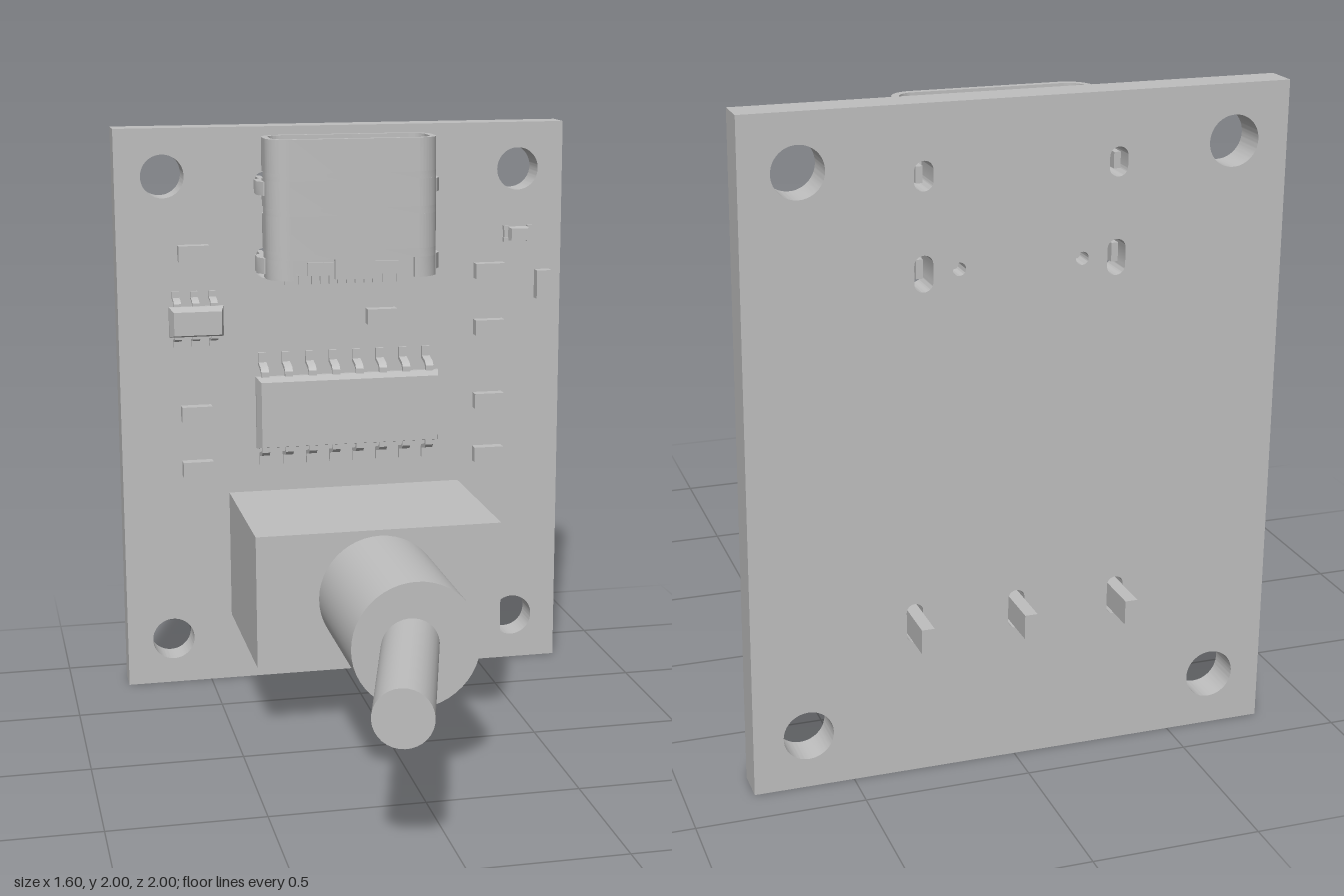
import * as THREE from 'three';
import { toCreasedNormals } from 'three/addons/utils/BufferGeometryUtils.js';

const FRONT = -0.77, BACK = -0.875; // board faces

export function createModel() {
  const root = new THREE.Group();
  const grey = new THREE.MeshStandardMaterial({ color: 0xbfbfbf });
  grey.name = 'plain grey';

  const add = (name, geo, parent = root) => {
    const mesh = new THREE.Mesh(geo, grey);
    mesh.name = name;
    parent.add(mesh);
    return mesh;
  };
  const group = (name) => {
    const g = new THREE.Group();
    g.name = name;
    root.add(g);
    return g;
  };
  // box given by its limits
  const box = (name, x0, x1, y0, y1, z0, z1, parent) => {
    const m = add(name, new THREE.BoxGeometry(x1 - x0, y1 - y0, z1 - z0), parent);
    m.position.set((x0 + x1) / 2, (y0 + y1) / 2, (z0 + z1) / 2);
    return m;
  };
  const extrude = (shape, depth, curveSegments = 10) => toCreasedNormals(
    new THREE.ExtrudeGeometry(shape, { depth, bevelEnabled: false, curveSegments }), 0.6);
  const rounded = (p, x, y, w, h, r) => { // rounded rectangle or slot
    const a = w / 2 - r, b = h / 2 - r;
    p.absarc(x + a, y + b, r, 0, Math.PI / 2);
    p.absarc(x - a, y + b, r, Math.PI / 2, Math.PI);
    p.absarc(x - a, y - b, r, Math.PI, Math.PI * 1.5);
    p.absarc(x + a, y - b, r, Math.PI * 1.5, Math.PI * 2);
    p.closePath();
    return p;
  };

  // Board with mounting holes, connector slots, peg holes and pin slots
  const board = new THREE.Shape([[-0.8, 0], [0.8, 0], [0.8, 2], [-0.8, 2]].map((p) => new THREE.Vector2(...p)));
  const slot = (x, y, w, h) => board.holes.push(rounded(new THREE.Path(), x, y, w, h, w / 2 - 0.0005));
  for (const s of [-1, 1]) {
    slot(s * 0.635, 1.835, 0.15, 0.15);
    slot(s * 0.635, 0.165, 0.15, 0.15);
    slot(s * 0.285, 1.8, 0.055, 0.085);
    slot(s * 0.285, 1.525, 0.055, 0.105);
    slot(s * 0.182, 1.53, 0.038, 0.038);
  }
  const pinX = [-0.312, 0, 0.312];
  pinX.forEach((x) => slot(x, 0.477, 0.05, 0.12));
  add('board', extrude(board, FRONT - BACK, 12)).position.z = BACK;

  // Toggle switch
  const toggle = group('toggleSwitch');
  box('switchBody', -0.422, 0.422, 0.243, 0.7, FRONT, -0.17, toggle);
  const bushing = add('bushing', new THREE.CylinderGeometry(0.21, 0.21, 0.535, 48), toggle);
  bushing.rotation.x = Math.PI / 2;
  bushing.position.set(0, 0.47, 0.0975);
  const from = new THREE.Vector3(0.024, 0.47, 0.2), to = new THREE.Vector3(-0.183, 0.47, 0.973);
  const lever = add('lever', new THREE.CylinderGeometry(0.092, 0.092, from.distanceTo(to), 32), toggle);
  lever.position.copy(from).lerp(to, 0.5);
  lever.quaternion.setFromUnitVectors(new THREE.Vector3(0, 1, 0), to.clone().sub(from).normalize());
  pinX.forEach((x) => box('switchPin', x - 0.019, x + 0.019, 0.44, 0.514, -1, FRONT, toggle));

  // Connector shell, made of slices stacked in y (shape y is -z)
  const port = group('portConnector');
  const zMid = 0.665, W = 0.6, H = 0.21, R = 0.075, T = 0.022;
  const slice = (name, shape, y0, y1) => {
    const geo = extrude(shape, y1 - y0);
    geo.rotateX(-Math.PI / 2);
    add(name, geo, port).position.y = y0;
  };
  const ring = rounded(new THREE.Shape(), 0, zMid, W, H, R);
  ring.holes.push(rounded(new THREE.Path(), 0, zMid, W - 2 * T, H - 2 * T, R - T));
  // wall from the side, round the front corner, to xIn
  const corner = (s, xIn) => {
    const out = [], inn = [];
    for (let i = 0; i <= 8; i++) {
      const a = (i / 8) * Math.PI / 2, cx = W / 2 - R, cy = zMid - H / 2 + R;
      out.push([cx + R * Math.cos(a), cy - R * Math.sin(a)]);
      inn.push([cx + (R - T) * Math.cos(a), cy - (R - T) * Math.sin(a)]);
    }
    const pts = [[W / 2, 0.68], ...out, [xIn, zMid - H / 2], [xIn, zMid - H / 2 + T], ...inn.reverse(), [W / 2 - T, 0.68]];
    return new THREE.Shape(pts.map(([x, y]) => new THREE.Vector2(s * x, y)));
  };
  for (const [y0, y1] of [[1.59, 1.71], [1.735, 1.83], [1.855, 1.97]]) slice('shell', ring, y0, y1);
  for (const [y0, y1] of [[1.56, 1.59], [1.71, 1.735], [1.83, 1.855]]) { // slices with side windows
    for (const s of [-1, 1]) slice('shellWindowWall', corner(s, 0), y0, y1);
    box('shellBack', -0.225, 0.225, y0, y1, FRONT, FRONT + T, port);
  }
  for (const s of [-1, 1]) { // skirt and spring tabs below the shell
    slice('shellSkirt', corner(s, 0.21), 1.49, 1.56);
    const t = [s * 0.07, s * 0.16].sort((a, b) => a - b);
    box('springTab', t[0], t[1], 1.5, 1.545, -0.615, -0.595, port);
    // folded legs that reach into the board slots
    for (const [y0, y1] of [[1.775, 1.822], [1.505, 1.56]]) {
      const leg = new THREE.Shape([[0.28, 0.64], [0.305, 0.64], [0.322, 0.67], [0.322, 0.735], [0.3, 0.76],
        [0.3, 0.85], [0.28, 0.85]].map(([x, y]) => new THREE.Vector2(s * x, y)));
      slice('shellLeg', leg, y0, y1);
    }
    const peg = add('locatingPeg', new THREE.CylinderGeometry(0.014, 0.014, 0.07, 12), port);
    peg.rotation.x = Math.PI / 2;
    peg.position.set(s * 0.182, 1.53, FRONT - 0.02);
  }
  box('skirtCentre', -0.07, 0.07, 1.49, 1.56, -0.582, -0.56, port);
  slice('insulator', rounded(new THREE.Shape(), 0, zMid + 0.012, W - 2 * T - 0.02, H - 2 * T - 0.025, R - T - 0.012), 1.5, 1.57);
  slice('tongue', rounded(new THREE.Shape(), 0, zMid, 0.44, 0.036, 0.0175), 1.57, 1.93);
  const contacts = [0.016, 0.047, 0.079, 0.11, 0.151, 0.202];
  for (const s of [-1, 1]) contacts.forEach((x, i) => {
    const w = i < 4 ? 0.007 : 0.012;
    box('contactLead', s * x - w, s * x + w, 1.445, 1.52, FRONT, FRONT + 0.014, port);
  });

  // Chip package: drafted body with two rows of bent leads
  const basis = (s) => new THREE.Matrix4().makeBasis(
    new THREE.Vector3(0, s, 0), new THREE.Vector3(0, 0, 1), new THREE.Vector3(s, 0, 0));
  function chip(name, cx, cy, w, h, top, xs, leadW, reach, rise) {
    const g = group(name);
    const draft = 0.012, low = 0.01, t = (top - low) / 2 - 0.006;
    const rect = new THREE.Shape([[-1, -1], [1, -1], [1, 1], [-1, 1]].map(([x, y]) => new THREE.Vector2(x * w / 2, y * h / 2)));
    const body = add('chipBody', new THREE.ExtrudeGeometry(rect, {
      depth: 0.012, bevelThickness: t, bevelSize: draft, bevelOffset: -draft, bevelSegments: 1 }), g);
    body.position.set(cx, cy, FRONT + low + t);
    const k = 0.014; // lead thickness
    const lead = new THREE.Shape([[-0.015, rise], [reach * 0.22, rise], [reach * 0.4, rise * 0.8], [reach * 0.55, k],
      [reach, k], [reach, 0], [reach * 0.42, 0], [reach * 0.25, rise * 0.66], [reach * 0.15, rise - k], [-0.015, rise - k],
    ].map((p) => new THREE.Vector2(...p)));
    for (const s of [-1, 1]) for (const x of xs) {
      const geo = extrude(lead, leadW);
      geo.translate(0, 0, -leadW / 2).applyMatrix4(basis(s));
      add('chipLead', geo, g).position.set(cx + x, cy + s * h / 2, FRONT);
    }
  }
  chip('largeChip', 0, 1.003, 0.66, 0.257, 0.117, Array.from({ length: 8 }, (_, i) => (i - 3.5) * 0.085), 0.028, 0.076, 0.075);
  chip('smallChip', -0.535, 1.337, 0.19, 0.106, 0.11, [-0.064, 0, 0.064], 0.025, 0.045, 0.062);

  // Small block components
  const blocks = [[-0.535, 1.57], [-0.535, 1], [-0.535, 0.8], [0.133, 1.325], [0.53, 1.475], [0.53, 1.27], [0.53, 1], [0.53, 0.8]];
  const block = (x, y, w, h) => box('blockComponent', x - w / 2, x + w / 2, y - h / 2, y + h / 2, FRONT, FRONT + 0.04);
  blocks.forEach(([x, y]) => block(x, y, 0.107, 0.055));
  block(0.73, 1.42, 0.055, 0.103);

  // Indicator lamp
  const lamp = group('indicatorLamp');
  const lx = 0.635, ly = 1.605;
  box('lampBase', lx - 0.05, lx + 0.05, ly - 0.017, ly + 0.017, FRONT, FRONT + 0.016, lamp);
  for (const s of [-1, 1]) for (const t of [-1, 1]) {
    const x = lx + s * 0.043, y = ly + t * 0.021;
    box('lampTerminal', x - 0.009, x + 0.009, y - 0.008, y + 0.008, FRONT, FRONT + 0.02, lamp);
  }
  const lens = add('lampLens', new THREE.CylinderGeometry(0.6, Math.SQRT1_2, 1, 4, 1, false, Math.PI / 4).toNonIndexed(), lamp);
  lens.geometry.computeVertexNormals();
  lens.rotation.x = Math.PI / 2;
  lens.scale.set(0.074, 0.035, 0.05);
  lens.position.set(lx, ly, FRONT + 0.03);

  return root;
}
